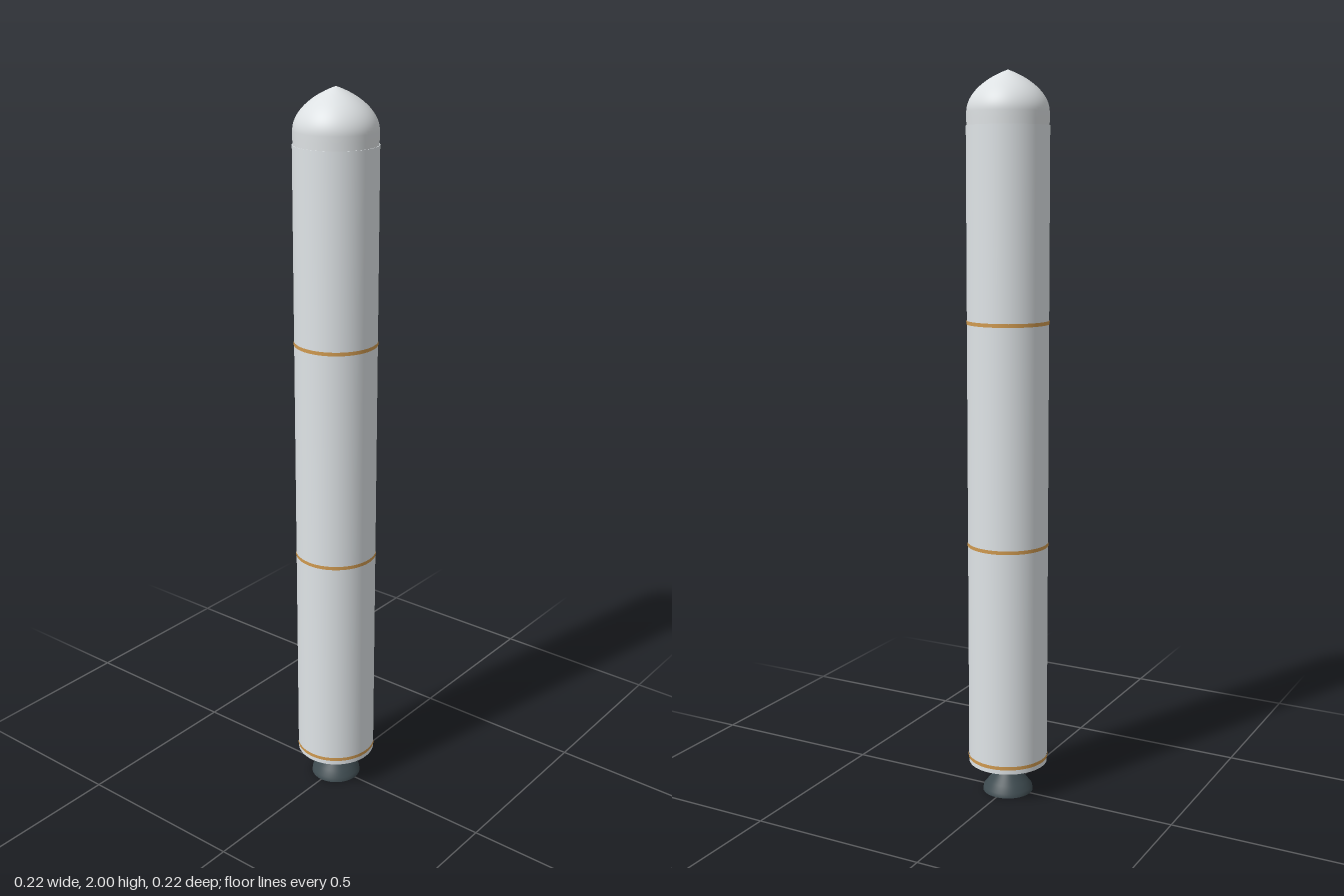
import * as THREE from 'three';

const SEG = 64;

export function createModel() {
  const rocket = new THREE.Group();
  rocket.name = 'rocketBooster';

  const mat = (name, color, side = THREE.FrontSide) => {
    const m = new THREE.MeshStandardMaterial({ color, side });
    m.name = name;
    return m;
  };
  const shell = mat('paleGreyShell', 0xe2e7ea, THREE.DoubleSide);
  const noseGrey = mat('noseGrey', 0xdde1e3);
  const gold = mat('goldBand', 0xd09a50);
  const teal = mat('tealBulkhead', 0x458a8c);
  const dark = mat('darkNozzle', 0x3e4b50, THREE.DoubleSide);

  const add = (name, geometry, material, y = 0) => {
    const mesh = new THREE.Mesh(geometry, material);
    mesh.name = name;
    mesh.position.y = y;
    rocket.add(mesh);
  };
  const lathe = (points) =>
    new THREE.LatheGeometry(points.map(([r, y]) => new THREE.Vector2(r, y)), SEG);
  const tube = (r, h) => new THREE.CylinderGeometry(r, r, h, SEG, 1, true);

  // Three casing segments, each with a thin band at its foot
  const joints = [0.108, 0.728, 1.342, 1.858];
  for (let i = 0; i < 3; i++) {
    const h = joints[i + 1] - joints[i];
    add('casingSegment' + (i + 1), tube(0.111, h), shell, joints[i] + h / 2);
    add('jointBand' + (i + 1), tube(0.1125, 0.01), gold, joints[i]);
  }

  // Narrow shoulder between the casing and the nose
  add('noseShoulder', new THREE.RingGeometry(0.108, 0.111, SEG).rotateX(-Math.PI / 2), shell, 1.858);

  // Aft skirt: outer wall, lip and inner wall
  add('skirtOuter', tube(0.111, 0.018), shell, 0.099);
  add('skirtLip', new THREE.RingGeometry(0.102, 0.111, SEG).rotateX(Math.PI / 2), shell, 0.09);
  add('skirtInner', tube(0.102, 0.01), shell, 0.095);

  // Recessed bulkhead closing the underside
  add('aftBulkhead', new THREE.CylinderGeometry(0.102, 0.102, 0.004, SEG), teal, 0.1);

  // Rounded nose with a straight foot and a slightly pointed tip
  const curve = new THREE.CubicBezierCurve(
    new THREE.Vector2(0.1095, 1.893), new THREE.Vector2(0.1095, 1.937),
    new THREE.Vector2(0.062, 1.978), new THREE.Vector2(0, 2));
  add('noseCap', lathe([[0.1095, 1.856], [0.1095, 1.875],
    ...curve.getPoints(20).map((p) => [p.x, p.y])]), noseGrey);

  // Engine: chamber, throat and hollow flared bell
  add('engineChamber', lathe([[0.016, 0.08], [0.026, 0.09], [0.026, 0.099]]), dark);
  add('engineBell', lathe([[0.071, 0], [0.069, 0.012], [0.056, 0.029],
    [0.037, 0.053], [0.022, 0.071], [0.016, 0.08]]), dark);
  add('throatPlug', new THREE.CylinderGeometry(0.017, 0.017, 0.003, 32), dark, 0.078);

  return rocket;
}
